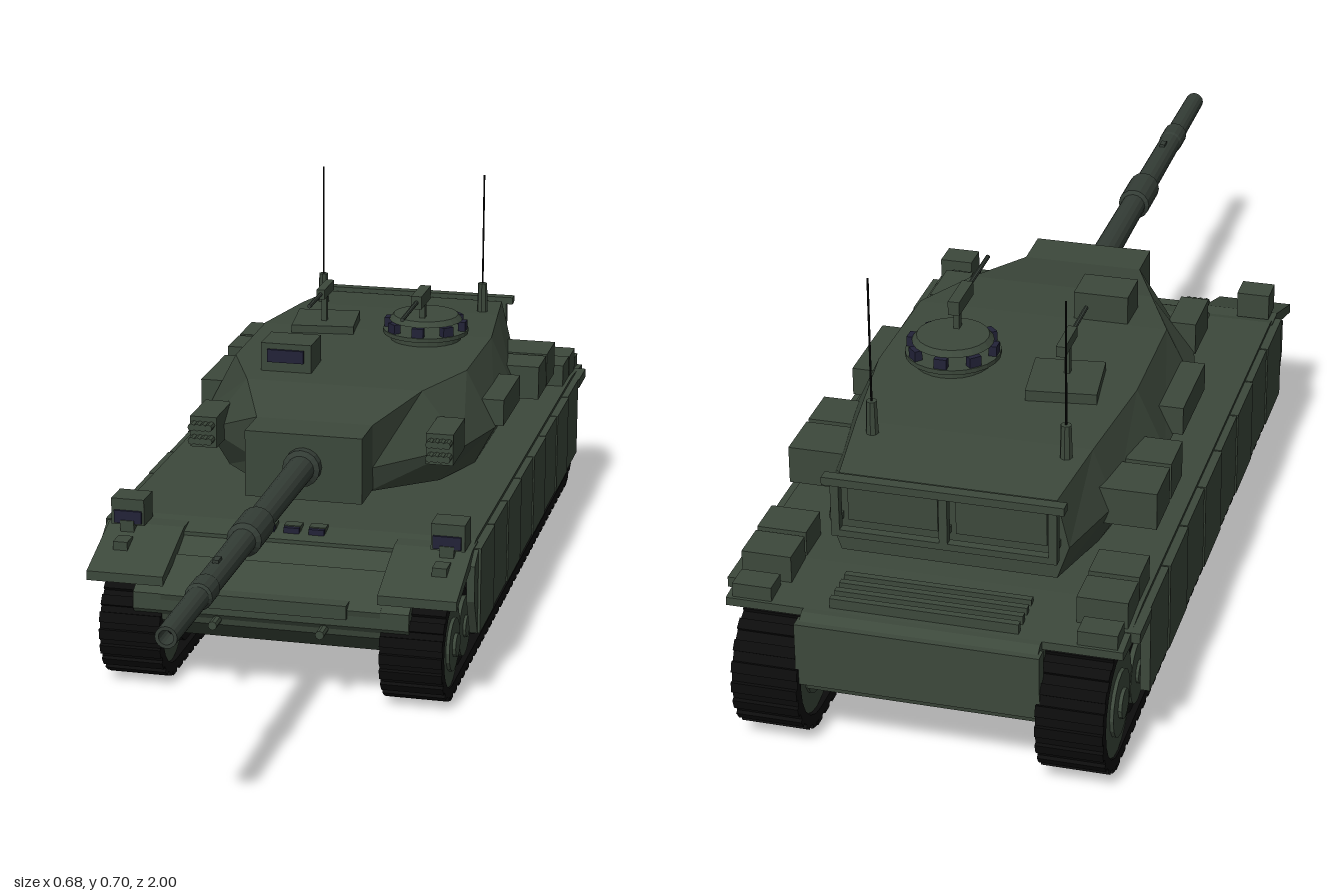
import * as THREE from 'three';

export function createModel() {
  const model = new THREE.Group();
  const mat = (name, color) => {
    const m = new THREE.MeshStandardMaterial({ color, flatShading: true });
    m.name = name;
    return m;
  };
  const green = mat('armour green', 0x3c483b);
  const black = mat('track black', 0x0c0c0c);
  const glass = mat('dark blue glass', 0x222238);
  const metal = mat('gun metal', 0x343d36);

  const add = (name, geo, material, x = 0, y = 0, z = 0) => {
    const mesh = new THREE.Mesh(geo, material);
    mesh.name = name;
    mesh.position.set(x, y, z);
    model.add(mesh);
    return mesh;
  };
  // box given by its limits on each axis
  const box = (name, x0, x1, y0, y1, z0, z1, material = green) =>
    add(name, new THREE.BoxGeometry(Math.abs(x1 - x0), y1 - y0, Math.abs(z1 - z0)), material,
      (x0 + x1) / 2, (y0 + y1) / 2, (z0 + z1) / 2);
  const cyl = (name, r0, r1, len, axis, material, x, y, z, sides = 16) => {
    const g = new THREE.CylinderGeometry(r0, r1, len, sides);
    if (axis === 'x') g.rotateZ(Math.PI / 2);
    if (axis === 'z') g.rotateX(Math.PI / 2);
    return add(name, g, material, x, y, z);
  };
  // side outline in (z, y), extruded across x
  const profile = (name, pts, x0, x1, material = green, hole) => {
    const shape = new THREE.Shape(pts.map(p => new THREE.Vector2(p[0], p[1])));
    if (hole) shape.holes.push(new THREE.Path(hole.map(p => new THREE.Vector2(p[0], p[1]))));
    const g = new THREE.ExtrudeGeometry(shape, { depth: Math.abs(x1 - x0), bevelEnabled: false });
    g.rotateY(-Math.PI / 2);
    return add(name, g, material, Math.max(x0, x1));
  };
  const bothSides = fn => [1, -1].forEach(fn);

  // hull
  profile('hull', [[0.34, 0.095], [0.375, 0.13], [0.385, 0.18], [0.22, 0.257], [-0.96, 0.25],
    [-0.98, 0.235], [-0.95, 0.1]], -0.195, 0.195);
  profile('nose', [[0.37, 0.13], [0.383, 0.15], [0.383, 0.18], [0.3, 0.225], [0.3, 0.19]], -0.245, 0.245);
  profile('deck', [[0.25, 0.225], [0.25, 0.25], [0.2, 0.262], [-0.82, 0.262], [-0.95, 0.25], [-0.95, 0.236], [-0.82, 0.225]], -0.325, 0.325);
  box('nosePlate', -0.137, 0.137, 0.165, 0.19, 0.36, 0.392);
  box('rearPlate', -0.2, 0.2, 0.13, 0.24, -0.985, -0.96);
  for (let i = 0; i < 4; i++) box('engineLouver', -0.155, 0.155, 0.25, 0.268, -0.94 + i * 0.025, -0.928 + i * 0.025);
  for (const x of [-0.045, 0, 0.045]) {
    box('driverPeriscope', x - 0.015, x + 0.015, 0.243, 0.267, 0.2, 0.222);
    box('driverPeriscopeGlass', x - 0.014, x + 0.014, 0.245, 0.265, 0.222, 0.23, glass);
  }

  // closed loop around the front idler and rear sprocket
  const loop = inset => {
    const pts = [], n = 10;
    for (let i = 0; i <= n; i++) {
      const a = -Math.PI / 2 + i * Math.PI / n, r = 0.094 - inset;
      pts.push([0.296 + r * Math.cos(a), 0.1 + r * Math.sin(a)]);
    }
    for (let i = 0; i <= n; i++) {
      const a = Math.PI / 2 + i * Math.PI / n, r = 0.109 - inset;
      pts.push([-0.886 + r * Math.cos(a), 0.115 + r * Math.sin(a)]);
    }
    return pts;
  };

  bothSides(s => {
    // running gear
    profile('track', loop(0), s * 0.195, s * 0.305, black, loop(0.018));
    for (let i = 0; i < 34; i++) {
      const z = 0.3 - i * 0.0362;
      box('trackLug', s * 0.195, s * 0.305, 0, 0.008, z - 0.011, z + 0.011, black);
    }
    for (let i = 1; i < 10; i++) {
      for (const [z, y, r, dir] of [[0.296, 0.1, 0.091, 1], [-0.886, 0.115, 0.106, -1]]) {
        const a = -Math.PI / 2 + i * Math.PI / 10;
        const lug = add('trackLug', new THREE.BoxGeometry(0.11, 0.018, 0.016), black,
          s * 0.25, y + r * Math.sin(a), z + dir * r * Math.cos(a));
        lug.rotation.x = -dir * a;
      }
    }
    for (let i = 0; i < 7; i++) {
      const z = 0.178 - i * 0.155;
      cyl('roadWheelTyre', 0.07, 0.07, 0.09, 'x', black, s * 0.25, 0.09, z, 20);
      cyl('roadWheelHub', 0.054, 0.054, 0.1, 'x', green, s * 0.253, 0.09, z, 20);
      cyl('roadWheelCap', 0.02, 0.02, 0.108, 'x', green, s * 0.254, 0.09, z, 12);
    }
    for (const [z, y, r] of [[0.296, 0.1, 0.076], [-0.886, 0.115, 0.09]]) {
      cyl('endWheel', r, r, 0.1, 'x', green, s * 0.252, y, z, 20);
      cyl('endWheelRing', r * 0.62, r * 0.62, 0.11, 'x', green, s * 0.253, y, z, 16);
      cyl('endWheelCap', r * 0.28, r * 0.28, 0.12, 'x', green, s * 0.254, y, z, 12);
    }

    // side skirts and fenders
    for (let i = 0; i < 8; i++) {
      const z = 0.232 - i * 0.132;
      const end = i === 7 ? -0.82 : z - 0.129;
      box('skirtPanel', s * 0.322, s * (i % 2 ? 0.338 : 0.34), 0.1, 0.256, z, end);
    }
    profile('skirtFront', [[0.268, 0.17], [0.268, 0.235], [0.235, 0.255], [0.235, 0.1]], s * 0.322, s * 0.336);
    box('rearFenderEdge', s * 0.31, s * 0.34, 0.238, 0.256, -0.9, -0.82);
    profile('frontFender', [[0.385, 0.195], [0.385, 0.212], [0.25, 0.258], [0.2, 0.258], [0.2, 0.235], [0.25, 0.235]], s * 0.19, s * 0.328);
    box('headlightFoot', s * 0.275, s * 0.3, 0.225, 0.27, 0.24, 0.275);
    box('headlight', s * 0.258, s * 0.318, 0.26, 0.308, 0.215, 0.268);
    box('headlightGlass', s * 0.262, s * 0.312, 0.264, 0.287, 0.268, 0.273, glass);
    box('fenderBracket', s * 0.272, s * 0.298, 0.218, 0.248, 0.29, 0.325);
    cyl('towHook', 0.008, 0.008, 0.06, 'z', green, s * 0.095, 0.14, 0.38, 8);

    // stowage boxes
    box('rearBox', s * 0.235, s * 0.318, 0.25, 0.302, -0.89, -0.822);
    box('rearLampBox', s * 0.25, s * 0.315, 0.245, 0.275, -0.945, -0.9);
    box('fenderBox', s * 0.235, s * 0.318, 0.255, 0.305, -0.815, -0.745);
    box('sideBox', s * 0.215, s * 0.312, 0.31, 0.375, -0.672, -0.58);
    box('sideBox', s * 0.235, s * 0.312, 0.31, 0.375, -0.57, -0.488);
    box('sidePanel', s * 0.25, s * 0.292, 0.335, 0.385, -0.395, -0.225);

    // smoke launchers
    box('launcherBase', s * 0.195, s * 0.245, 0.33, 0.388, -0.09, 0.015);
    for (let r = 0; r < 2; r++) for (let c = 0; c < 4; c++)
      cyl('smokeTube', 0.007, 0.007, 0.04, 'z', green, s * (0.205 + c * 0.0107), 0.347 + r * 0.026, 0.016, 8);

    // antennas
    cyl('antennaBase', 0.009, 0.011, 0.065, 'y', green, s * 0.163, 0.453, -0.678, 8);
    cyl('antenna', 0.0018, 0.0018, 0.225, 'y', black, s * 0.163, 0.5925, -0.678, 6);
  });

  // turret: six-sided sections from front to back
  // [z, bottom half width, bottom y, middle half width, middle y, top half width, top y]
  const sections = [
    [0.06, 0.1, 0.285, 0.107, 0.33, 0.107, 0.41],
    [-0.09, 0.2, 0.266, 0.243, 0.333, 0.165, 0.434],
    [-0.22, 0.24, 0.262, 0.277, 0.333, 0.222, 0.44],
    [-0.45, 0.24, 0.262, 0.274, 0.333, 0.225, 0.44],
    [-0.65, 0.21, 0.262, 0.238, 0.333, 0.2, 0.43],
    [-0.8, 0.18, 0.275, 0.2, 0.333, 0.18, 0.416],
  ].map(([z, b, yb, m, ym, t, yt]) =>
    [[-b, yb, z], [b, yb, z], [m, ym, z], [t, yt, z], [-t, yt, z], [-m, ym, z]]);
  const pos = [];
  const tri = (a, b, c) => pos.push(...a, ...b, ...c);
  for (let i = 0; i < sections.length - 1; i++) {
    const f = sections[i], k = sections[i + 1];
    for (let j = 0; j < 6; j++) {
      const n = (j + 1) % 6;
      tri(f[j], k[n], f[n]);
      tri(f[j], k[j], k[n]);
    }
  }
  const first = sections[0], last = sections[sections.length - 1];
  for (let j = 1; j < 5; j++) {
    tri(first[0], first[j], first[j + 1]);
    tri(last[0], last[j + 1], last[j]);
  }
  const turretGeo = new THREE.BufferGeometry();
  turretGeo.setAttribute('position', new THREE.Float32BufferAttribute(pos, 3));
  turretGeo.computeVertexNormals();
  add('turret', turretGeo, green);
  cyl('turretRing', 0.18, 0.18, 0.03, 'y', green, 0, 0.262, -0.32, 24);

  // rear rack
  box('rackTopRail', -0.2, 0.2, 0.408, 0.422, -0.832, -0.812);
  box('rackBottomRail', -0.185, 0.185, 0.315, 0.327, -0.828, -0.812);
  for (const x of [-0.18, 0, 0.18]) {
    box('rackPost', x - 0.007, x + 0.007, 0.315, 0.415, -0.828, -0.812);
    box('rackArm', x - 0.006, x + 0.006, 0.335, 0.347, -0.815, -0.79);
  }
  bothSides(s => box('rearPanel', s * 0.015, s * 0.165, 0.335, 0.398, -0.806, -0.798));

  // main gun
  box('mantlet', -0.107, 0.107, 0.288, 0.41, 0.05, 0.143);
  const barrel = [[0, 0.13], [0.034, 0.13], [0.034, 0.16], [0.025, 0.165], [0.023, 0.455], [0.03, 0.46], [0.03, 0.545],
    [0.022, 0.552], [0.021, 0.77], [0.023, 0.775], [0.023, 0.82], [0.019, 0.825], [0.018, 1], [0.012, 1], [0.012, 0.95], [0, 0.95]];
  const gun = new THREE.LatheGeometry(barrel.map(p => new THREE.Vector2(p[0], p[1])), 16);
  gun.rotateX(Math.PI / 2);
  add('gunBarrel', gun, metal, 0, 0.352, 0);
  cyl('boreFace', 0.012, 0.012, 0.004, 'z', black, 0, 0.352, 0.955, 12);
  box('barrelSight', -0.005, 0.005, 0.368, 0.378, 0.7, 0.72, metal);

  // gunner sight
  box('gunnerSight', -0.152, -0.056, 0.43, 0.49, -0.218, -0.142);
  box('gunnerSightGlass', -0.139, -0.07, 0.455, 0.479, -0.142, -0.136, glass);

  // loader hatch and machine gun
  const hatch = box('loaderHatch', -0.165, -0.045, 0.435, 0.455, -0.52, -0.4);
  hatch.rotation.y = 0.12;
  box('loaderGunMount', -0.109, -0.099, 0.45, 0.508, -0.45, -0.438);
  box('loaderGun', -0.112, -0.096, 0.505, 0.524, -0.49, -0.41);
  cyl('loaderGunBarrel', 0.004, 0.004, 0.1, 'z', metal, -0.104, 0.515, -0.37, 8);

  // commander cupola
  const cx = 0.102, cz = -0.42;
  cyl('cupolaBase', 0.068, 0.068, 0.02, 'y', green, cx, 0.444, cz, 24);
  cyl('cupolaRing', 0.082, 0.082, 0.008, 'y', green, cx, 0.456, cz, 24);
  cyl('cupolaLid', 0.062, 0.07, 0.01, 'y', green, cx, 0.483, cz, 24);
  for (let i = 0; i < 8; i++) {
    const a = i * Math.PI / 4;
    const block = add('cupolaPeriscope', new THREE.BoxGeometry(0.022, 0.018, 0.014), glass,
      cx + 0.072 * Math.sin(a), 0.469, cz + 0.072 * Math.cos(a));
    block.rotation.y = a;
  }
  box('commanderGunMount', cx - 0.005, cx + 0.005, 0.485, 0.525, -0.4, -0.385);
  box('commanderGun', cx - 0.01, cx + 0.01, 0.52, 0.545, -0.415, -0.33);
  cyl('commanderGunBarrel', 0.004, 0.004, 0.13, 'z', metal, cx, 0.533, -0.27, 8);

  return model;
}
